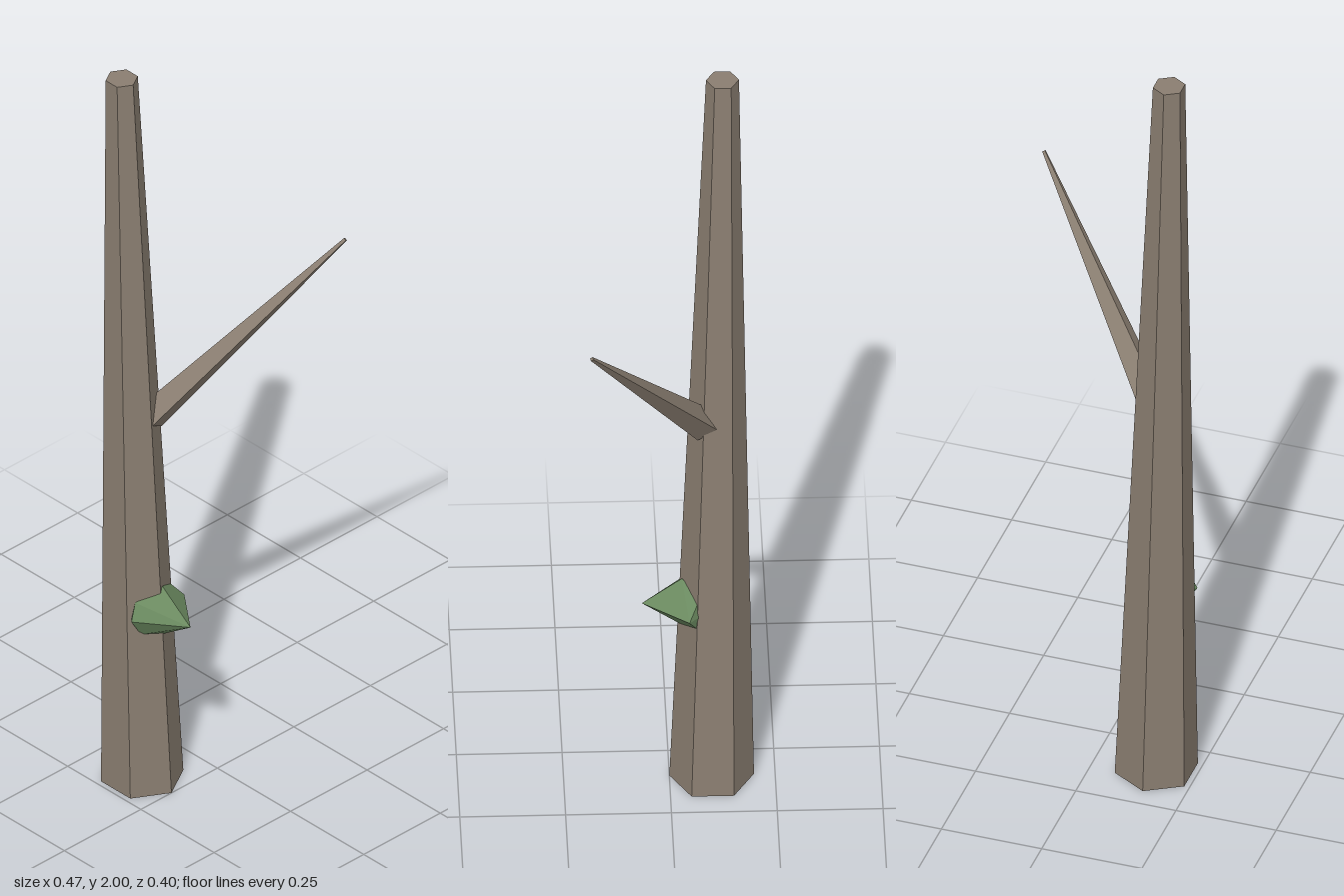
import * as THREE from 'three';
import { ConvexGeometry } from 'three/addons/geometries/ConvexGeometry.js';

const bark = new THREE.MeshStandardMaterial({ color: 0x8a7e71, flatShading: true, side: THREE.DoubleSide });
const leaf = new THREE.MeshStandardMaterial({ color: 0x6b8a60, flatShading: true });

function addMesh(parent, name, geometry, material) {
  const mesh = new THREE.Mesh(geometry, material);
  mesh.name = name;
  parent.add(mesh);
  return mesh;
}

export function createModel() {
  const model = new THREE.Group();
  model.name = 'deadTree';

  // Leaning six-sided trunk, hollow at the base and capped on top
  const base = new THREE.Vector3(-0.15, 0, -0.1);
  const top = new THREE.Vector3(-0.191, 2, -0.127);
  const trunkGeometry = new THREE.CylinderGeometry(0.039, 0.1, 2, 6, 1, true).translate(0, 1, 0);
  const p = trunkGeometry.attributes.position;
  for (let i = 0; i < p.count; i++) {
    const t = p.getY(i) / 2;
    p.setX(i, p.getX(i) + THREE.MathUtils.lerp(base.x, top.x, t));
    p.setZ(i, p.getZ(i) + THREE.MathUtils.lerp(base.z, top.z, t));
  }
  trunkGeometry.computeVertexNormals();
  addMesh(model, 'trunk', trunkGeometry, bark);

  const cap = new THREE.CircleGeometry(0.039, 6, Math.PI / 2).rotateX(-Math.PI / 2);
  addMesh(model, 'trunkTop', cap, bark).position.copy(top);

  // Four-sided branch tapering to a thin tip
  const root = new THREE.Vector3(-0.14, 1.03, -0.083);
  const tip = new THREE.Vector3(0.231, 1.5, 0.196);
  const along = tip.clone().sub(root);
  const length = along.length();
  const branch = addMesh(model, 'branch',
    new THREE.CylinderGeometry(0.005, 0.04, length, 4).translate(0, length / 2, 0), bark);
  branch.position.copy(root);
  branch.rotation.set(Math.acos(along.y / length), Math.atan2(along.x, along.z), 0, 'YXZ');

  // Faceted leaf clump on the front of the trunk
  const corners = [
    [0, 0, 0.115], [0.085, 0, 0.005], [-0.085, 0, 0.002],
    [0, 0.07, 0.02], [0, -0.065, 0.02],
    [-0.066, 0.043, -0.005], [-0.052, -0.052, 0],
    [0.05, 0.045, -0.02], [0.05, -0.048, -0.02], [0, 0, -0.08],
  ].map((c) => new THREE.Vector3(...c));
  addMesh(model, 'leafClump', new ConvexGeometry(corners), leaf).position.set(-0.15, 0.505, -0.05);

  return model;
}
